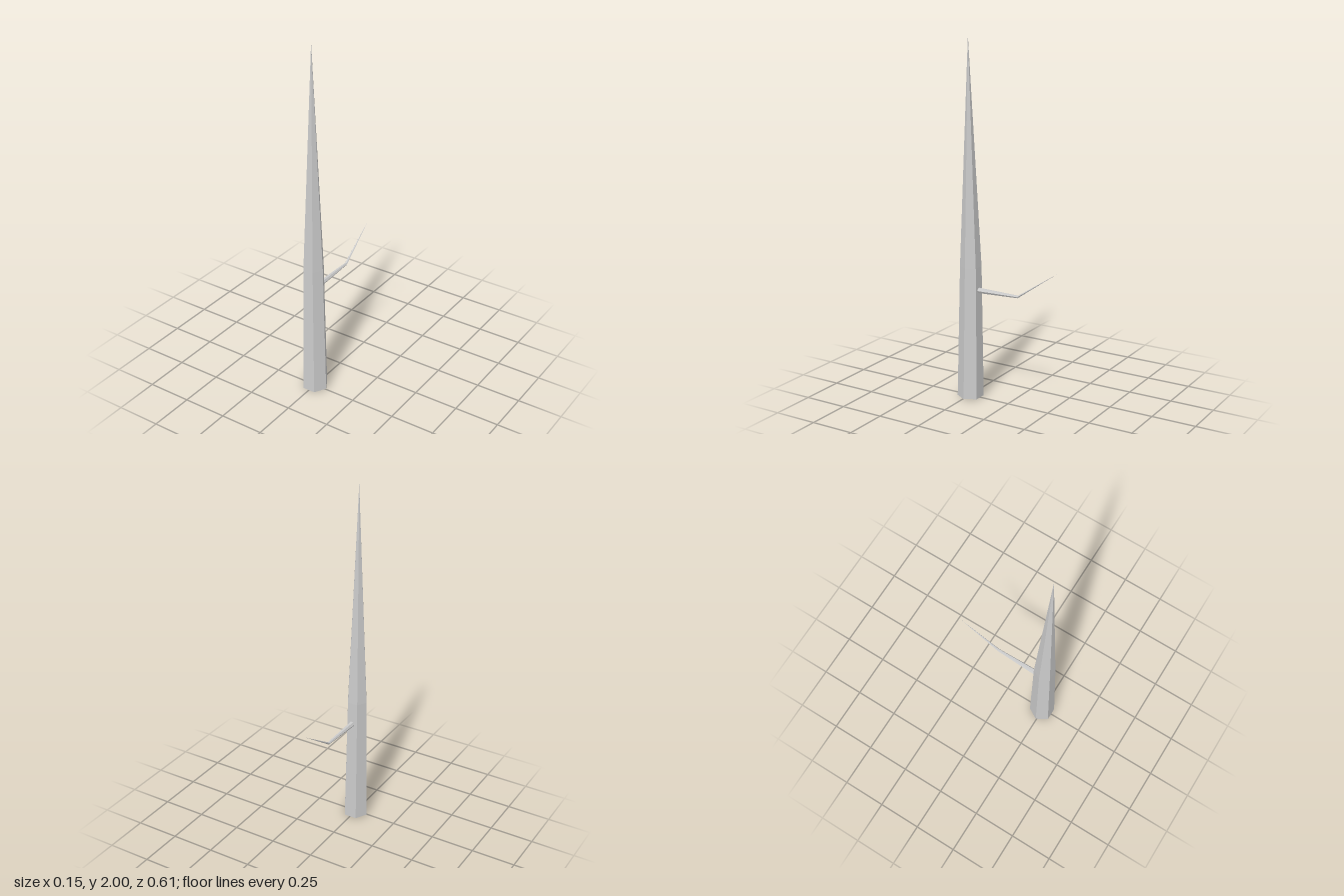
import * as THREE from 'three';

const SIDES = 6;

// Lofts six-sided rings [x, y, z, radius] along an axis to a pointed tip, with a capped base.
// u and v span the ring plane; u x v points along the growth direction.
function taperedLimb(name, rings, tip, u, v, material) {
  const loops = rings.map(([x, y, z, r]) =>
    Array.from({ length: SIDES }, (_, j) => {
      const a = (j / SIDES) * Math.PI * 2;
      return new THREE.Vector3(x, y, z)
        .addScaledVector(u, Math.cos(a) * r)
        .addScaledVector(v, Math.sin(a) * r);
    })
  );
  const end = new THREE.Vector3(...tip);
  const base = new THREE.Vector3(...rings[0].slice(0, 3));
  const points = [];

  for (let j = 0; j < SIDES; j++) {
    const k = (j + 1) % SIDES;
    points.push(base, loops[0][k], loops[0][j]);
    for (let i = 0; i < loops.length - 1; i++) {
      const lo = loops[i], hi = loops[i + 1];
      points.push(lo[j], lo[k], hi[k], lo[j], hi[k], hi[j]);
    }
    const last = loops[loops.length - 1];
    points.push(last[j], last[k], end);
  }

  const geometry = new THREE.BufferGeometry().setFromPoints(points);
  geometry.computeVertexNormals();
  const mesh = new THREE.Mesh(geometry, material);
  mesh.name = name;
  return mesh;
}

export function createModel() {
  const group = new THREE.Group();
  group.name = 'bareTree';
  const bark = new THREE.MeshStandardMaterial({ color: 0xcccccc, flatShading: true });
  const X = new THREE.Vector3(1, 0, 0);

  // Upright trunk, slightly bent at its middle ring
  group.add(taperedLimb('trunk',
    [[-0.001, 0, 0.245, 0.073], [-0.006, 0.75, 0.241, 0.059]],
    [-0.002, 2, 0.245],
    X, new THREE.Vector3(0, 0, -1), bark));

  // Thin branch reaching backwards, then kinking upwards
  group.add(taperedLimb('branch',
    [[-0.004, 0.621, 0.195, 0.0155], [-0.002, 0.625, -0.06, 0.0075]],
    [-0.01, 0.79, -0.3],
    X, new THREE.Vector3(0, -1, 0), bark));

  return group;
}
